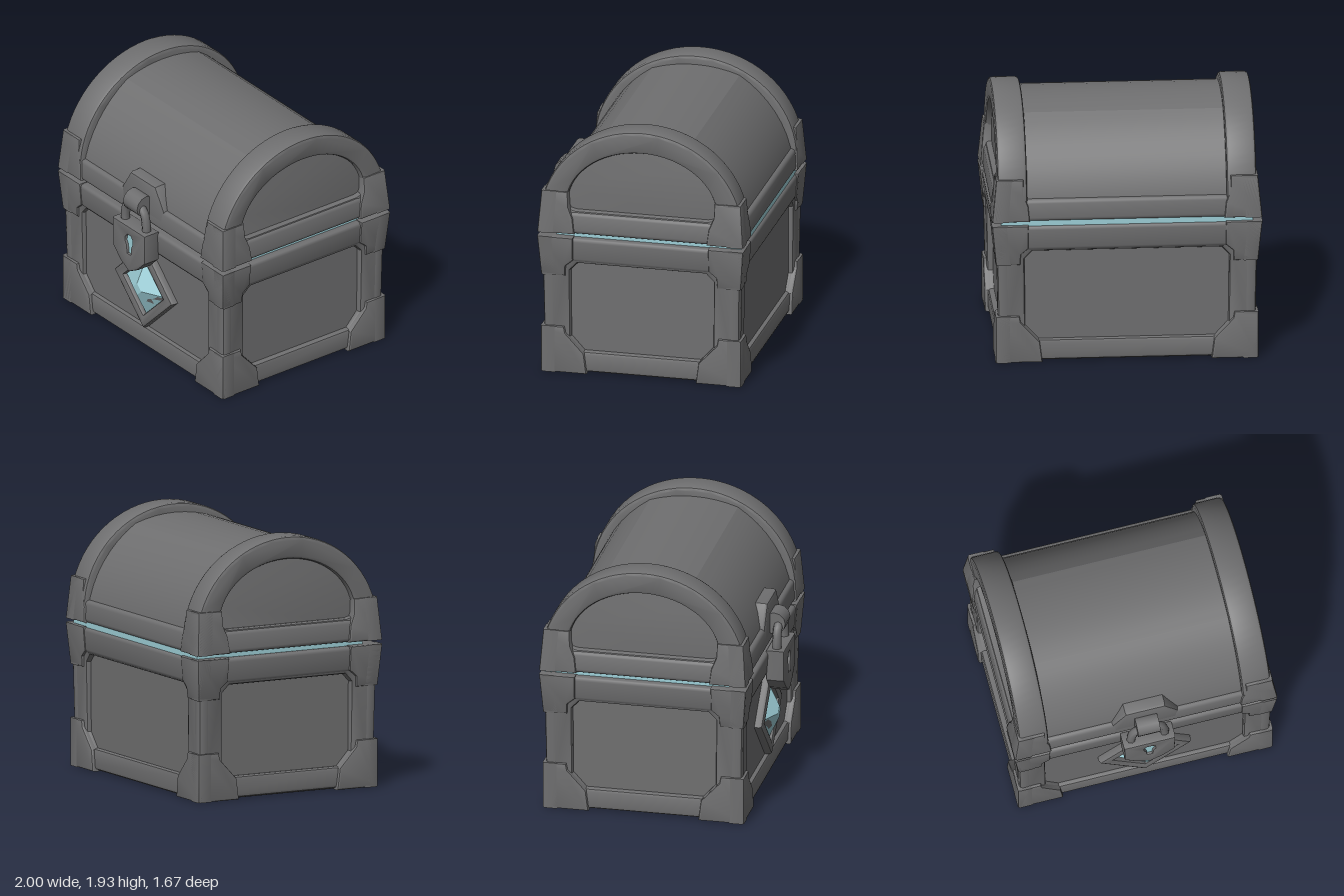
import * as THREE from 'three';
import { toCreasedNormals } from 'three/addons/utils/BufferGeometryUtils.js';
import { RoundedBoxGeometry } from 'three/addons/geometries/RoundedBoxGeometry.js';

const stone = new THREE.MeshStandardMaterial({ color: 0x6f6f70 });
stone.name = 'stone grey';
const crystal = new THREE.MeshStandardMaterial({ color: 0x9ed0d8 });
crystal.name = 'pale cyan';

const toPath = (pts) => pts.map(([x, y]) => new THREE.Vector2(x, y));

// Bevelled plate: front face at z = 0, thickness going back
function plate(pts, holes, depth, bevel = 0.015) {
  const shape = new THREE.Shape(toPath(pts));
  for (const h of holes) shape.holes.push(new THREE.Path(toPath(h)));
  const g = new THREE.ExtrudeGeometry(shape, {
    depth: depth - 2 * bevel, bevelEnabled: true, bevelSize: bevel,
    bevelThickness: bevel, bevelOffset: -bevel, bevelSegments: 2,
  });
  return toCreasedNormals(g.translate(0, 0, bevel - depth), 0.6);
}

// Body and lid swell towards the seam between them
function flare(g) {
  const p = g.attributes.position;
  for (let i = 0; i < p.count; i++) {
    const s = 1 + 0.037 * Math.max(0, 1 - Math.abs(p.getY(i) - 1.08) / 0.36);
    p.setX(i, p.getX(i) * s);
    p.setZ(i, p.getZ(i) * s);
  }
  return toCreasedNormals(g, 0.6);
}

function add(parent, name, geometry, material = stone) {
  const m = new THREE.Mesh(geometry, material);
  m.name = name;
  parent.add(m);
  return m;
}

const slab = (w, y0, y1, d, r) =>
  new RoundedBoxGeometry(w, y1 - y0, d, 2, r).translate(0, (y0 + y1) / 2, 0);

// Upper half of an ellipse, from +x to -x
function arc(rx, ry, cy, a0, a1, n) {
  return Array.from({ length: n + 1 }, (_, i) => {
    const a = a0 + ((a1 - a0) * i) / n;
    return [rx * Math.cos(a), cy + ry * Math.sin(a)];
  });
}

export function createModel() {
  const model = new THREE.Group();
  model.name = 'chest';
  const chest = new THREE.Group();
  chest.name = 'chestBox';
  chest.position.z = -0.045;
  model.add(chest);

  // Recessed body core and the upper rail
  add(chest, 'bodyCore', new THREE.BoxGeometry(1.8, 0.99, 1.4).translate(0, 0.535, 0));
  add(chest, 'bodyRim', flare(slab(1.9, 0.87, 1.065, 1.49, 0.03)));

  // Four walls: panel frame, foot caps, rim caps, lid caps
  const walls = [
    { name: 'front', turn: 0, half: 0.965, out: 0.755 },
    { name: 'left', turn: Math.PI / 2, half: 0.755, out: 0.965 },
    { name: 'back', turn: Math.PI, half: 0.965, out: 0.755 },
    { name: 'right', turn: -Math.PI / 2, half: 0.755, out: 0.965 },
  ];
  for (const { name, turn, half: w, out } of walls) {
    const put = (part, pts, holes, depth, offset, bevel) => add(chest, name + part,
      flare(plate(pts, holes, depth, bevel).translate(0, 0, offset).rotateY(turn)));
    const f = w - 0.02, h = w - 0.215;
    put('PanelFrame', [[-f, 0.012], [f, 0.012], [f, 0.92], [-f, 0.92]], [[
      [-h + 0.1, 0.17], [-h, 0.28], [-h, 0.8], [-h + 0.06, 0.86],
      [h - 0.06, 0.86], [h, 0.8], [h, 0.28], [h - 0.1, 0.17]]], 0.09, out - 0.02, 0.025);
    for (const s of [-1, 1]) {
      const side = s < 0 ? 'A' : 'B';
      const mirror = (pts) => pts.map(([x, y]) => [s * x, y]);
      put('FootCap' + side, mirror([[w + 0.005, 0], [w + 0.005, 0.36], [w - 0.17, 0.36],
        [w - 0.18, 0.31], [w - 0.32, 0.16], [w - 0.34, 0]]), [], 0.12, out + 0.005);
      put('RimCap' + side, mirror([[w, 0.76], [w, 1.07], [w - 0.26, 1.07],
        [w - 0.25, 0.89], [w - 0.19, 0.84], [w - 0.18, 0.76]]), [], 0.12, out);
      put('LidCap' + side, mirror([[w, 1.1], [w, 1.42], [w - 0.2, 1.42],
        [w - 0.21, 1.31], [w - 0.25, 1.22], [w - 0.27, 1.1]]), [], 0.13, out);
    }
  }

  // Underside frame with bevelled corners
  const base = plate([[-0.93, -0.72], [0.93, -0.72], [0.93, 0.72], [-0.93, 0.72]], [[
    [-0.64, -0.53], [-0.74, -0.43], [-0.74, 0.43], [-0.64, 0.53],
    [0.64, 0.53], [0.74, 0.43], [0.74, -0.43], [0.64, -0.53]]], 0.07, 0.02);
  add(chest, 'baseFrame', base.rotateX(Math.PI / 2).translate(0, 0.005, 0));

  // Glowing layer in the seam
  add(chest, 'seamGlow', new THREE.BoxGeometry(1.86, 0.1, 1.4).translate(0, 1.085, -0.05), crystal);

  // Lid: lower rail and barrel of three slightly flattened planks
  add(chest, 'lidRail', flare(slab(1.9, 1.1, 1.265, 1.48, 0.03)));
  const cuts = [0, 1.1, 2.04, Math.PI];
  const barrel = [];
  for (let k = 0; k < 3; k++) {
    const pts = arc(0.735, 0.685, 1.195, cuts[k], cuts[k + 1], 8);
    const a = pts[0], b = pts[8];
    pts.forEach((p, i) => {
      if (k < 2 && i === 8) return;
      barrel.push(p.map((v, j) => v * 0.75 + (a[j] + ((b[j] - a[j]) * i) / 8) * 0.25));
    });
  }
  add(chest, 'lidBarrel', toCreasedNormals(
    plate(barrel, [], 1.6, 0.005).translate(0, 0, 0.8).rotateY(Math.PI / 2), 0.3));

  // Arched bands with a recessed panel at each end of the lid
  const outer = [[0.765, 1.12], ...arc(0.77, 0.73, 1.2, 0, Math.PI, 36), [-0.765, 1.12]];
  const recess = [[0.5, 1.275], [0.6, 1.3], [0.6, 1.33],
    ...arc(0.57, 0.45, 1.31, 0.15, Math.PI - 0.15, 28), [-0.6, 1.33], [-0.6, 1.3], [-0.5, 1.275]];
  for (const s of [-1, 1]) {
    const side = s > 0 ? 'left' : 'right';
    const turn = (g, x) => g.translate(0, 0, x).rotateY((s * Math.PI) / 2);
    add(chest, side + 'LidArch', turn(plate(outer, [recess], 0.22, 0.025), 0.957));
    add(chest, side + 'LidEndPanel', turn(plate(arc(0.66, 0.6, 1.2, 0, Math.PI, 28), [], 0.1, 0.01), 0.91));
  }

  // Latch plate on the lid
  add(model, 'latchPlate', plate([[-0.25, 1.12], [0.25, 1.12], [0.25, 1.27], [0.15, 1.43],
    [-0.15, 1.43], [-0.25, 1.27]], [], 0.2, 0.025).translate(0, 0, 0.715));
  // Hasp knuckle
  add(model, 'haspKnuckle', toCreasedNormals(
    new THREE.CylinderGeometry(0.085, 0.085, 0.17, 12).rotateZ(Math.PI / 2), 0.6)
    .translate(0, 1.25, 0.745));

  // Padlock: shackle, shield body, keyhole
  const curve = new THREE.CatmullRomCurve3([[-0.125, 1.02], [-0.125, 1.12], [-0.1, 1.21],
    [-0.04, 1.25], [0.04, 1.25], [0.1, 1.21], [0.125, 1.12], [0.125, 1.02]]
    .map(([x, y]) => new THREE.Vector3(x, y, 0.775)));
  add(model, 'shackle', new THREE.TubeGeometry(curve, 28, 0.034, 8));
  const keyhole = [[-0.018, 0.845], [-0.025, 0.91], [-0.042, 0.94], [-0.04, 0.975], [-0.02, 1],
    [0.02, 1], [0.04, 0.975], [0.042, 0.94], [0.025, 0.91], [0.018, 0.845]];
  const shield = [[0, 0.695], [0.1, 0.75], [0.19, 0.84], [0.195, 1.075],
    [-0.195, 1.075], [-0.19, 0.84], [-0.1, 0.75]];
  add(model, 'lockBody', plate(shield, [keyhole], 0.14, 0.015).translate(0, 0, 0.845));
  add(model, 'keyholeGlow', new THREE.BoxGeometry(0.12, 0.2, 0.008).translate(0, 0.92, 0.82), crystal);

  // Diamond mount and faceted gem
  const diamond = (r) => [[0, -r], [r, 0], [0, r], [-r, 0]];
  add(model, 'gemMount', plate(diamond(0.35), [diamond(0.235)], 0.1, 0.025)
    .translate(0, 0.52, 0.715));
  const gem = new THREE.CylinderGeometry(0.05, 0.26, 0.1, 4).toNonIndexed();
  gem.rotateX(Math.PI / 2).translate(0, 0.52, 0.715);
  gem.computeVertexNormals();
  add(model, 'gem', gem, crystal);

  // Dull patches lying on the gem facets
  const patches = [
    [[-0.2, 0.5], [-0.07, 0.4], [-0.05, 0.42], [-0.09, 0.47], [-0.15, 0.51]],
    [[0.06, 0.43], [0.11, 0.42], [0.11, 0.47], [0.08, 0.46]],
    [[0.12, 0.47], [0.2, 0.48], [0.22, 0.51], [0.17, 0.51]],
  ];
  for (const pts of patches) {
    const g = new THREE.ShapeGeometry(new THREE.Shape(toPath(pts)));
    const p = g.attributes.position;
    for (let i = 0; i < p.count; i++) {
      const r = Math.abs(p.getX(i)) + Math.abs(p.getY(i) - 0.52);
      p.setZ(i, 0.769 - Math.max(0, r - 0.05) * 0.476);
    }
    g.computeVertexNormals();
    add(model, 'gemPatch', g);
  }
  return model;
}
